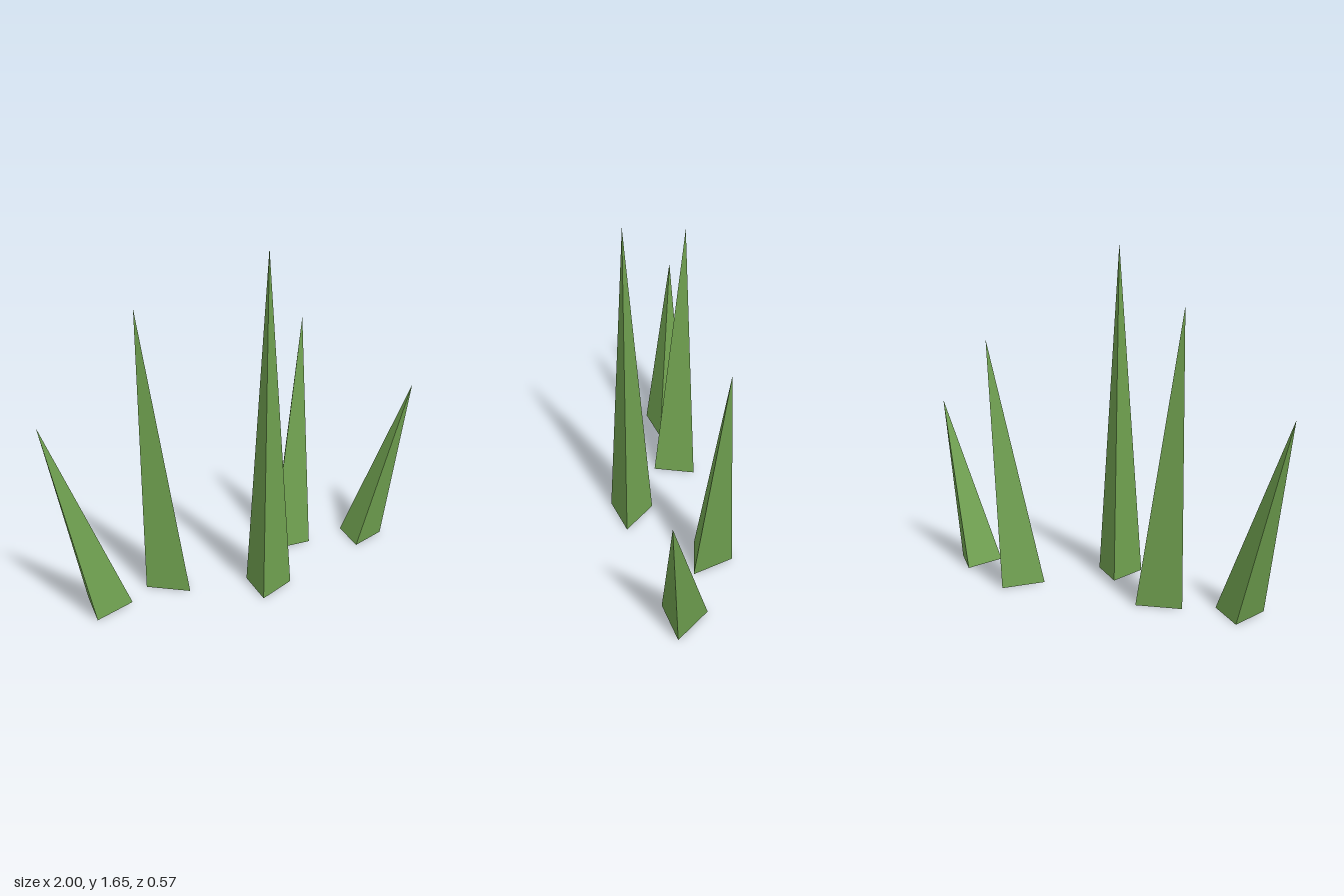
import * as THREE from 'three';

const RADIUS = 0.126;

// Three-sided spike standing on y = 0, its tip pushed sideways by (leanX, leanZ)
function makeBlade({ x, z, height, turn, leanX, leanZ }, material) {
  const geometry = new THREE.ConeGeometry(
    RADIUS, height, 3, 1, false, THREE.MathUtils.degToRad(turn)
  ).toNonIndexed();
  geometry.translate(0, height / 2, 0);
  const p = geometry.attributes.position;
  for (let i = 0; i < p.count; i++) {
    const t = p.getY(i) / height;
    p.setX(i, p.getX(i) + leanX * t);
    p.setZ(i, p.getZ(i) + leanZ * t);
  }
  geometry.computeVertexNormals();
  const blade = new THREE.Mesh(geometry, material);
  blade.position.set(x, 0, z);
  return blade;
}

export function createModel() {
  const model = new THREE.Group();
  model.name = 'grassTuft';
  const green = new THREE.MeshStandardMaterial({ color: 0x6fa04f, flatShading: true });

  // Blades from the model's right (-x) to its left (+x), fanning outward
  const blades = [
    { name: 'outerRightBlade', x: -0.743, z: -0.062, height: 0.92, turn: -44, leanX: -0.257, leanZ: -0.063 },
    { name: 'innerRightBlade', x: -0.373, z: -0.093, height: 1.38, turn: 15.5, leanX: -0.127, leanZ: -0.057 },
    { name: 'middleBlade', x: 0, z: 0.19, height: 1.65, turn: -41.7, leanX: 0, leanZ: 0 },
    { name: 'innerLeftBlade', x: 0.368, z: -0.163, height: 1.2, turn: 52.4, leanX: 0.132, leanZ: -0.062 },
    { name: 'outerLeftBlade', x: 0.74, z: 0.002, height: 0.83, turn: 74.2, leanX: 0.26, leanZ: 0.078 },
  ];
  for (const spec of blades) {
    const blade = makeBlade(spec, green);
    blade.name = spec.name;
    model.add(blade);
  }
  return model;
}
